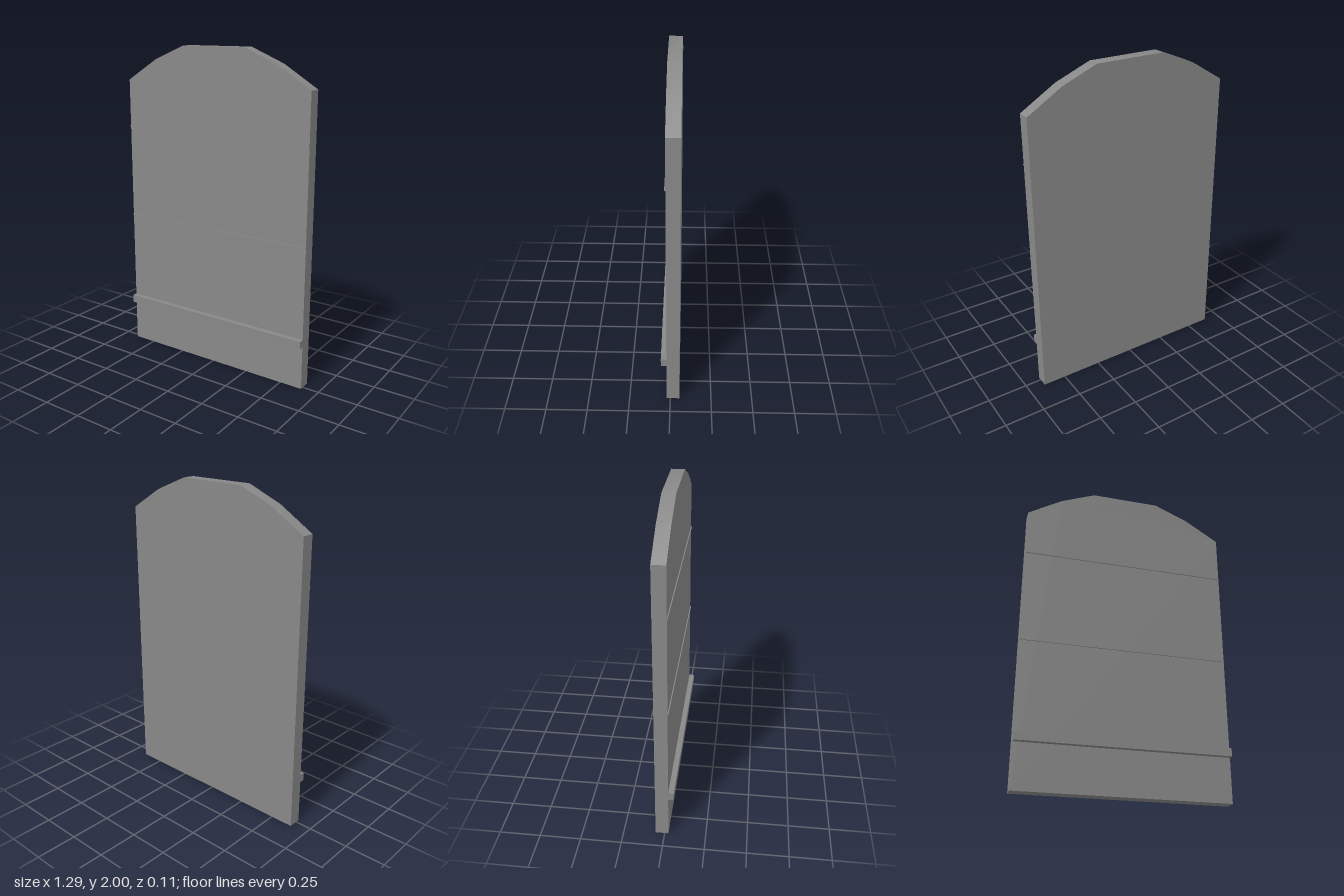
import * as THREE from 'three';
import { toCreasedNormals } from 'three/addons/utils/BufferGeometryUtils.js';

const HALF_WIDTH = 0.645;
const BACK = -0.056;
const FACE = 0.023;

export function createModel() {
  const group = new THREE.Group();
  group.name = 'archedPanel';
  const material = new THREE.MeshStandardMaterial({ color: 0x888888 });

  // Board with a faceted arched top, shaded smoothly along the arch
  const rightArch = [[HALF_WIDTH, 1.781], [0.43, 1.912], [0.215, 2]];
  const leftArch = rightArch.map(([x, y]) => [-x, y]).reverse();
  const outline = [[-HALF_WIDTH, 0], [HALF_WIDTH, 0], ...rightArch, ...leftArch];
  const shape = new THREE.Shape(outline.map(([x, y]) => new THREE.Vector2(x, y)));
  const boardGeometry = new THREE.ExtrudeGeometry(shape, { depth: FACE - BACK, bevelEnabled: false });
  boardGeometry.translate(0, 0, BACK);
  const board = new THREE.Mesh(toCreasedNormals(boardGeometry, 0.5), material);
  board.name = 'board';
  group.add(board);

  // Full-width horizontal bars standing on the front face
  const addBar = (name, y, height, front) => {
    const depth = front - FACE;
    const bar = new THREE.Mesh(new THREE.BoxGeometry(2 * HALF_WIDTH, height, depth), material);
    bar.position.set(0, y, FACE + depth / 2);
    bar.name = name;
    group.add(bar);
  };
  addBar('ledge', 0.297, 0.05, 0.056);
  addBar('lowerStrip', 0.891, 0.008, 0.029);
  addBar('upperStrip', 1.486, 0.008, 0.029);

  return group;
}
